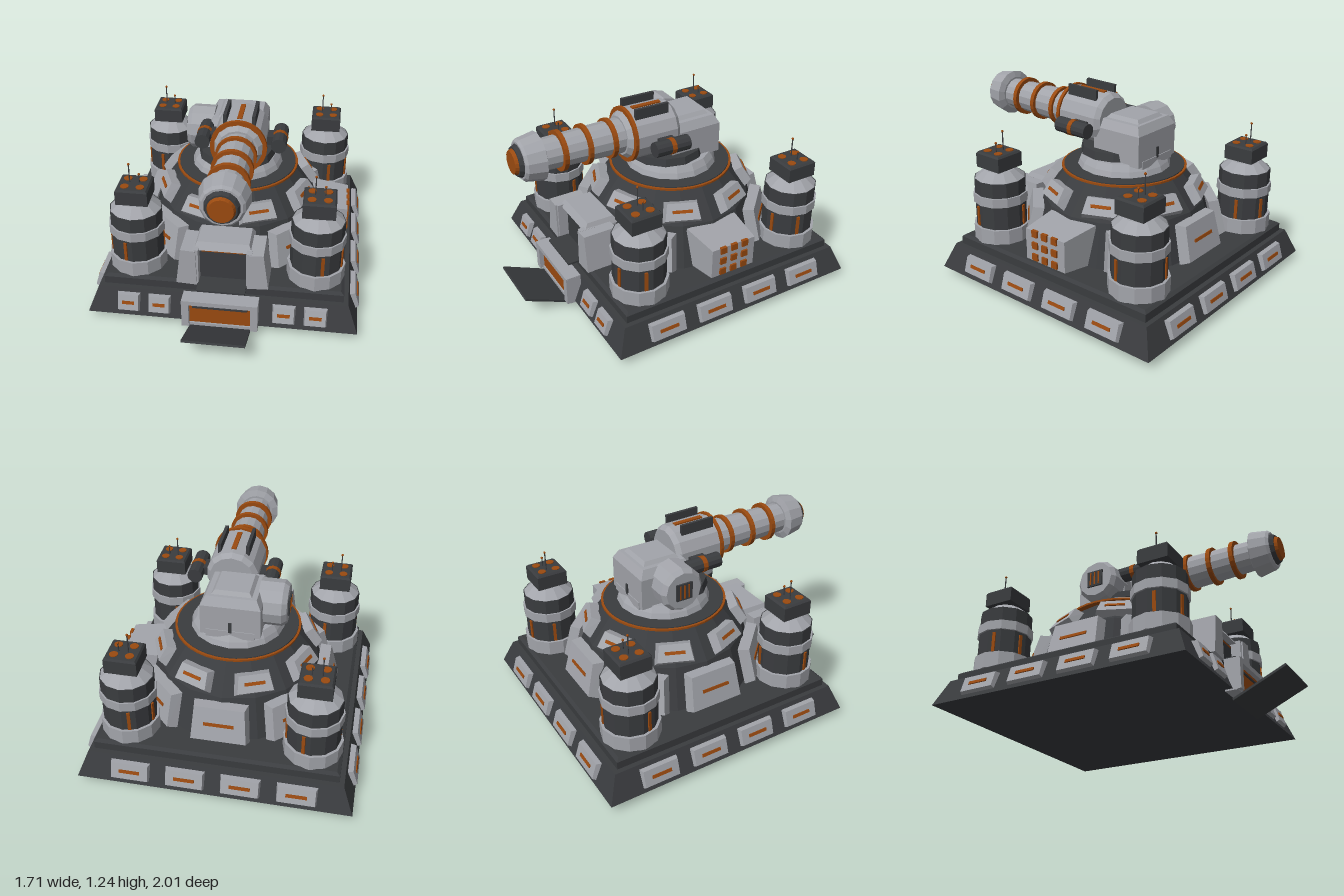
import * as THREE from 'three';

const mat = (color) => new THREE.MeshStandardMaterial({ color, flatShading: true });
const GREY = mat(0xa2a4aa), DARK = mat(0x3a3c3f), ORANGE = mat(0x9a4a10);
const CZ = -0.157; // centre of the fortress in z; the ramp and gun reach further forward

function add(parent, name, geo, material, x = 0, y = 0, z = 0) {
  const m = new THREE.Mesh(geo, material);
  m.name = name;
  m.position.set(x, y, z);
  parent.add(m);
  return m;
}
function group(parent, name, x = 0, y = 0, z = 0) {
  const g = new THREE.Group();
  g.name = name;
  g.position.set(x, y, z);
  parent.add(g);
  return g;
}
const box = (w, h, d) => new THREE.BoxGeometry(w, h, d);
// Upright cylinder or cone from y0 to y1, with flat sides facing the axes' offsets
const drum = (r0, r1, y0, y1, n) => new THREE.CylinderGeometry(r1, r0, y1 - y0, n).translate(0, (y0 + y1) / 2, 0);
// The same, lying along z
const drumZ = (r0, r1, z0, z1, n) => drum(r0, r1, z0, z1, n).rotateX(Math.PI / 2);

// Box whose front face is inset by a chamfer and whose top is narrowed
function plate(w, h, d, chamfer = 0.015, top = 1) {
  const g = box(w, h, d), p = g.attributes.position;
  for (let i = 0; i < p.count; i++) {
    let x = p.getX(i), y = p.getY(i);
    const s = y > 0 ? top : 1;
    if (p.getZ(i) > 0) {
      x -= Math.sign(x) * chamfer;
      y -= Math.sign(y) * chamfer;
    }
    p.setXY(i, x * s, y);
  }
  g.computeVertexNormals();
  return g;
}
// Rectangular frustum
function frustum(w0, d0, w1, d1, h) {
  const g = box(1, h, 1), p = g.attributes.position;
  for (let i = 0; i < p.count; i++) {
    const up = p.getY(i) > 0;
    p.setX(i, p.getX(i) * (up ? w1 : w0));
    p.setZ(i, p.getZ(i) * (up ? d1 : d0));
  }
  g.computeVertexNormals();
  return g;
}
// Armour plate with a glowing slit, leaning back by tilt
function armour(parent, name, x, y, z, w, h, d, tilt, top = 1) {
  const g = group(parent, name, x, y, z);
  g.rotation.x = -tilt;
  add(g, 'armourPlate', plate(w, h, d, 0.014, top), GREY);
  add(g, 'armourSlit', box(w * 0.5, 0.02, 0.012), ORANGE, 0, 0, d / 2);
}
const spoke = (parent, name, angle) => {
  const g = group(parent, name);
  g.rotation.y = angle;
  return g;
};

function buildBase(root) {
  const g = group(root, 'base', 0, 0, CZ);
  add(g, 'plinth', frustum(1.69, 1.69, 1.56, 1.56, 0.165), DARK, 0, 0.1375, 0);
  add(g, 'deckEdge', box(1.5, 0.05, 1.5), DARK, 0, 0.245, 0);
  add(g, 'deck', frustum(1.5, 1.5, 1.46, 1.46, 0.015), DARK, 0, 0.2775, 0);
  for (let s = 0; s < 4; s++) {
    const side = spoke(g, 'baseSide', s * Math.PI / 2);
    const front = s === 0;
    for (const x of front ? [-0.585, -0.39, 0.39, 0.585] : [-0.51, -0.17, 0.17, 0.51])
      armour(side, 'basePanel', x, 0.138, 0.815, front ? 0.155 : 0.255, 0.13, 0.05, 0.3);
  }
}

function buildHatch(root) {
  const g = group(root, 'hatch');
  // Frame around the opening
  for (const s of [-1, 1]) add(g, 'hatchJamb', box(0.045, 0.19, 0.1), GREY, s * 0.213, 0.145, 0.69);
  add(g, 'hatchLintel', box(0.47, 0.03, 0.1), GREY, 0, 0.23, 0.69);
  add(g, 'hatchSill', box(0.47, 0.02, 0.08), GREY, 0, 0.055, 0.68);
  add(g, 'hatchInner', box(0.38, 0.17, 0.06), ORANGE, 0, 0.135, 0.68);
  add(g, 'hatchBar', box(0.34, 0.012, 0.01), DARK, 0, 0.185, 0.713);
  const ramp = add(g, 'ramp', box(0.38, 0.014, 0.365), DARK, 0, 0.084, 0.831);
  ramp.rotation.x = -0.433;
}

function buildKeep(root) {
  const g = group(root, 'keep', 0, 0, CZ);
  add(g, 'lowerKeep', drum(0.6, 0.52, 0.28, 0.55, 16), DARK);
  add(g, 'upperKeep', drum(0.52, 0.37, 0.55, 0.735, 16), DARK);
  for (let i = 0; i < 8; i++) {
    armour(spoke(g, 'upperArmour', (i + 0.5) * Math.PI / 4), 'upperPlate', 0, 0.63, 0.475, 0.25, 0.135, 0.06, 0.58, 0.84);
    // Front holds the gate and the left side holds the vent block
    if (i !== 0 && i !== 2)
      armour(spoke(g, 'lowerArmour', i * Math.PI / 4), 'lowerPlate', 0, 0.41, 0.585, 0.37, 0.25, 0.07, 0.24, 0.9);
  }
  // Vent block with a grid of lamps
  const vent = spoke(g, 'ventBlock', Math.PI / 2);
  add(vent, 'ventHousing', plate(0.36, 0.25, 0.25, 0.025), GREY, 0, 0.41, 0.62);
  for (let i = -1; i <= 1; i++)
    for (let j = -1; j <= 1; j++)
      add(vent, 'ventLamp', box(0.043, 0.043, 0.02), ORANGE, i * 0.078, 0.418 + j * 0.077, 0.747);
}

function buildGate(root) {
  const g = group(root, 'gate');
  add(g, 'gateBody', box(0.34, 0.24, 0.2), GREY, 0, 0.4, 0.42);
  add(g, 'gateRoof', frustum(0.36, 0.24, 0.32, 0.18, 0.045), GREY, 0, 0.535, 0.45);
  add(g, 'gateDoor', box(0.3, 0.22, 0.02), DARK, 0, 0.39, 0.525);
  add(g, 'doorLine', box(0.27, 0.008, 0.01), ORANGE, 0, 0.487, 0.534);
  add(g, 'threshold', box(0.3, 0.012, 0.14), DARK, 0, 0.285, 0.61);
  for (const s of [-1, 1]) {
    const p = add(g, 'gatePillar', frustum(0.13, 0.22, 0.09, 0.22, 0.25), GREY, s * 0.215, 0.405, 0.5);
    p.rotation.z = s * 0.05;
    add(g, 'pillarCap', box(0.035, 0.25, 0.1), GREY, s * 0.165, 0.405, 0.55);
  }
}

function buildTower(root, sx, sz) {
  const g = group(root, 'tower', sx * 0.565, 0, CZ + sz * 0.56);
  add(g, 'towerFoot', drum(0.182, 0.182, 0.28, 0.38, 12), GREY);
  add(g, 'towerShaft', drum(0.165, 0.165, 0.38, 0.69, 12), DARK);
  add(g, 'towerBand', drum(0.176, 0.176, 0.535, 0.595, 12), GREY);
  add(g, 'towerShoulder', drum(0.16, 0.095, 0.69, 0.742, 12), GREY);
  add(g, 'towerNeck', drum(0.04, 0.04, 0.74, 0.757, 12), ORANGE);
  for (const a of [15, 75, 195, 255])
    add(spoke(g, 'towerLight', sx * a * Math.PI / 180), 'lightStrip', box(0.02, 0.13, 0.014), ORANGE, 0, 0.45, 0.161);
  // Launcher head with four tubes and two aerials
  add(g, 'launcher', box(0.2, 0.09, 0.2), DARK, 0, 0.8, 0);
  add(g, 'launcherTop', frustum(0.2, 0.2, 0.18, 0.18, 0.012), DARK, 0, 0.851, 0);
  for (const x of [-1, 1])
    for (const z of [-1, 1])
      add(g, 'launchTube', drum(0.026, 0.026, 0.84, 0.862, 12), ORANGE, x * 0.048, 0, z * 0.048);
  for (const [x, top] of [[-0.03, 0.98], [0.03, 0.915]]) {
    add(g, 'aerial', drum(0.004, 0.004, 0.85, top, 6), DARK, x, 0, -0.01);
    add(g, 'aerialTip', new THREE.SphereGeometry(0.008, 8, 6), ORANGE, x, top, -0.01);
  }
}

function buildTurret(root) {
  const g = group(root, 'turret', 0, 0, CZ);
  add(g, 'turretRing', drum(0.4, 0.4, 0.738, 0.75, 40), ORANGE);
  add(g, 'turretDisc', drum(0.385, 0.385, 0.74, 0.756, 40), DARK);
  add(g, 'turretFoot', drum(0.3, 0.285, 0.75, 0.79, 16), GREY);
  add(g, 'turretCollar', drum(0.285, 0.26, 0.79, 0.83, 16), GREY);
  add(g, 'turretBearing', drum(0.25, 0.24, 0.83, 0.88, 12), DARK, 0, 0, 0.04);
  // Head housing
  add(g, 'headBody', box(0.37, 0.2, 0.35), GREY, 0, 0.92, -0.08);
  add(g, 'headRoof', frustum(0.37, 0.35, 0.31, 0.29, 0.055), GREY, 0, 1.047, -0.08);
  add(g, 'headHatch', frustum(0.25, 0.25, 0.21, 0.21, 0.025), GREY, 0, 1.085, -0.08);
  add(g, 'rearSlit', box(0.02, 0.07, 0.012), DARK, 0, 0.88, -0.257);
  add(g, 'rearSkirt', box(0.3, 0.05, 0.05), GREY, 0, 0.83, -0.235);
  // Round side pod on the right
  const pod = group(g, 'sidePod', -0.17, 0.96, -0.045);
  pod.rotation.z = Math.PI / 2;
  add(pod, 'podDrum', drum(0.143, 0.143, -0.02, 0.125, 12), GREY);
  add(pod, 'podRim', drum(0.143, 0.12, 0.125, 0.155, 12), GREY);
  add(pod, 'podFace', box(0.11, 0.02, 0.11), DARK, 0, 0.156, 0);
  for (const z of [-0.03, 0, 0.03]) add(pod, 'podSlit', box(0.09, 0.012, 0.01), ORANGE, 0, 0.163, z);
}

function buildGun(root) {
  const g = group(root, 'gun', 0.05, 1.042, 0);
  g.rotation.x = -0.02;
  add(g, 'breech', drumZ(0.165, 0.165, -0.08, 0.2, 14), GREY);
  add(g, 'breechBack', drumZ(0.14, 0.165, -0.11, -0.08, 14), GREY);
  add(g, 'breechRing', drumZ(0.175, 0.175, 0.2, 0.222, 28), ORANGE);
  add(g, 'breechFront', drumZ(0.15, 0.125, 0.222, 0.25, 14), GREY);
  add(g, 'barrel', drumZ(0.113, 0.097, 0.22, 0.79, 14), GREY);
  for (const z of [0.325, 0.49, 0.65]) add(g, 'barrelRing', drumZ(0.126, 0.126, z - 0.014, z + 0.014, 24), ORANGE);
  // Muzzle with a recessed emitter
  add(g, 'muzzle', drumZ(0.15, 0.13, 0.78, 0.89, 14), GREY);
  add(g, 'muzzleBack', drumZ(0.11, 0.15, 0.765, 0.78, 14), GREY);
  add(g, 'muzzleLip', drumZ(0.13, 0.115, 0.89, 0.905, 14), GREY);
  add(g, 'emitterCollar', drumZ(0.105, 0.09, 0.9, 0.93, 14), DARK);
  add(g, 'emitter', drumZ(0.082, 0.07, 0.925, 0.95, 20), ORANGE);
  // Fins and slit on top of the breech
  for (const s of [-1, 1]) add(g, 'breechFin', box(0.02, 0.09, 0.23), DARK, s * 0.088, 0.15, 0.07);
  add(g, 'breechSlit', box(0.03, 0.015, 0.2), ORANGE, 0, 0.163, 0.06);
  // Small guns on both flanks
  for (const s of [-1, 1]) {
    const c = group(g, 'flankGun', s * 0.238, -0.022, 0.015);
    add(c, 'flankTube', drumZ(0.048, 0.048, -0.118, 0.118, 12), DARK);
    add(c, 'flankBand', drumZ(0.051, 0.051, -0.015, 0.015, 12), ORANGE);
    add(c, 'flankMount', box(0.1, 0.055, 0.1), DARK, -s * 0.06, 0, 0);
  }
}

export function createModel() {
  const root = new THREE.Group();
  root.name = 'fortressTurret';
  buildBase(root);
  buildHatch(root);
  buildKeep(root);
  buildGate(root);
  for (const sx of [-1, 1]) for (const sz of [-1, 1]) buildTower(root, sx, sz);
  buildTurret(root);
  buildGun(root);
  return root;
}
